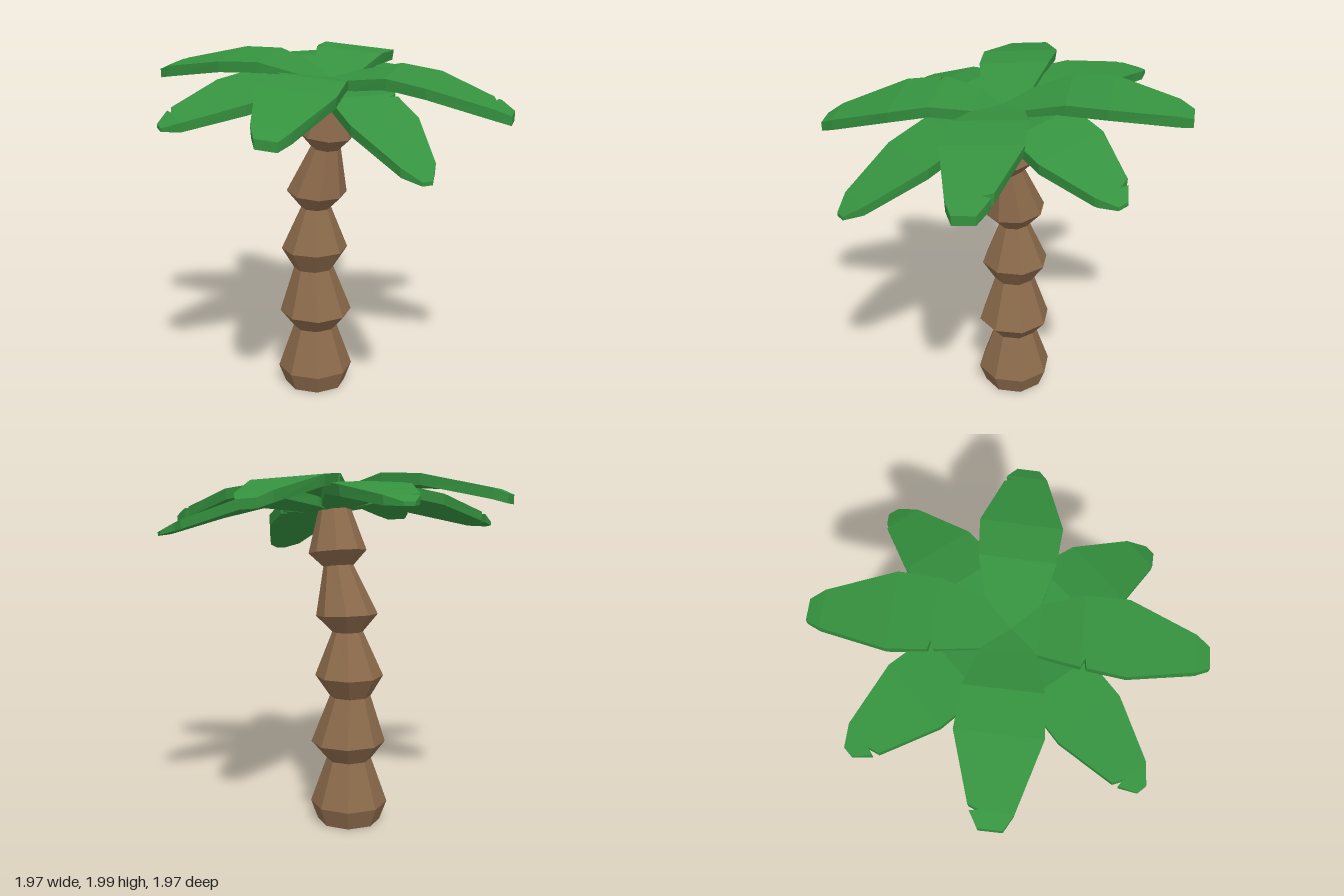
import * as THREE from 'three';

// Skins a list of equal-length rings of points and caps both ends.
// Each ring runs clockwise as seen from the far end.
function loft(rings) {
  const n = rings[0].length, last = (rings.length - 1) * n, index = [];
  for (let i = 0; i < rings.length - 1; i++) {
    for (let k = 0; k < n; k++) {
      const a = i * n + k, b = i * n + (k + 1) % n;
      index.push(a, a + n, b + n, a, b + n, b);
    }
  }
  for (let k = 1; k < n - 1; k++) {
    index.push(0, k, k + 1, last, last + k + 1, last + k);
  }
  const geometry = new THREE.BufferGeometry();
  geometry.setAttribute('position', new THREE.Float32BufferAttribute(rings.flat(2), 3));
  geometry.setIndex(index);
  geometry.computeVertexNormals();
  return geometry;
}

// Linear lookup of a frond station at distance r
function sample(profile, r) {
  const i = Math.max(1, profile.findIndex((p) => p[0] >= r));
  const a = profile[i - 1], b = profile[i], t = (r - a[0]) / (b[0] - a[0]);
  return a.map((v, k) => v + (b[k] - v) * t);
}

// One thick folded frond; notch is a small tear in one edge
function frondGeometry({ angle, profile, tilt, notch, side }) {
  const s = Math.sin(angle), c = Math.cos(angle);
  const stations = profile.filter((p) => Math.abs(p[0] - notch) > 0.025).map((p) => [...p, 0]);
  [[-0.02, 0], [0, 0.05], [0.008, 0]].forEach(([dr, cut]) => {
    stations.push([...sample(profile, notch + dr), cut]);
  });
  stations.sort((a, b) => a[0] - b[0]);
  return loft(stations.map(([r, y, w, thick, cut]) => {
    const left = -w + (side < 0 ? cut : 0), right = w - (side > 0 ? cut : 0);
    const point = (e, drop) => {
      const x = s * r + c * e, z = c * r - s * e;
      return [x, y - drop - tilt * z, z];
    };
    return [point(left, 0), point(right, 0), point(right * 0.96, thick), point(left * 0.96, thick)];
  }));
}

export function createModel() {
  const group = new THREE.Group();
  const bark = new THREE.MeshStandardMaterial({ color: 0x8b6a4b, flatShading: true });
  const leaf = new THREE.MeshStandardMaterial({ color: 0x35923f, flatShading: true });

  // Trunk: stacked flaring segments; y, centre x, centre z, half width, lean
  const trunkRings = [
    [0.00, -0.045, -0.12, 0.165, 0],
    [0.11, -0.045, -0.12, 0.203, 0],
    [0.37, -0.045, -0.12, 0.118, 0],
    [0.47, -0.042, -0.115, 0.195, 0.02],
    [0.74, -0.052, -0.12, 0.107, 0],
    [0.86, -0.045, -0.12, 0.178, 0],
    [1.11, -0.04, -0.108, 0.08, 0.03],
    [1.205, -0.035, -0.108, 0.16, 0.1],
    [1.475, -0.008, -0.045, 0.078, 0.17],
    [1.555, -0.002, -0.047, 0.15, 0.17],
    [1.82, 0.0, 0.0, 0.075, 0.2],
  ];
  const sides = 8;
  const trunk = new THREE.Mesh(loft(trunkRings.map(([y, cx, cz, half, lean]) => {
    const radius = half / Math.cos(Math.PI / sides);
    return Array.from({ length: sides }, (_, k) => {
      const t = ((k + 0.5) / sides) * Math.PI * 2;
      const dz = radius * Math.sin(t);
      return [cx + radius * Math.cos(t), y - lean * dz, cz + dz];
    });
  })), bark);
  trunk.name = 'trunk';
  group.add(trunk);

  // Frond profiles: distance, top height, half width, thickness
  const lower = [
    [0, 1.82, 0.02, 0.05], [0.14, 1.85, 0.13, 0.06], [0.35, 1.885, 0.195, 0.06],
    [0.585, 1.835, 0.2, 0.06], [0.9, 1.735, 0.1, 0.05], [0.985, 1.69, 0.03, 0.02],
  ];
  const upper = [
    [0, 1.87, 0.005, 0.05], [0.14, 1.9, 0.14, 0.06], [0.355, 1.95, 0.195, 0.06],
    [0.575, 1.93, 0.212, 0.06], [0.925, 1.84, 0.105, 0.06], [1.0, 1.805, 0.06, 0.05],
  ];

  // Two layers of four fronds, the crown tipping down at the front
  const crown = new THREE.Group();
  crown.name = 'crown';
  const layers = [
    { name: 'lowerFrond', profile: lower, tilt: 0.185, start: 0, tears: [[0.38, 1], [0.91, 1], [0.9, 1], [0.9, -1]] },
    { name: 'upperFrond', profile: upper, tilt: 0.115, start: Math.PI / 4, tears: [[0.9, 1], [0.37, 1], [0.92, -1], [0.37, -1]] },
  ];
  layers.forEach(({ name, profile, tilt, start, tears }) => {
    tears.forEach(([notch, side], i) => {
      const angle = start + (i * Math.PI) / 2;
      const frond = new THREE.Mesh(frondGeometry({ angle, profile, tilt, notch, side }), leaf);
      frond.name = name + (i + 1);
      crown.add(frond);
    });
  });
  group.add(crown);
  return group;
}
